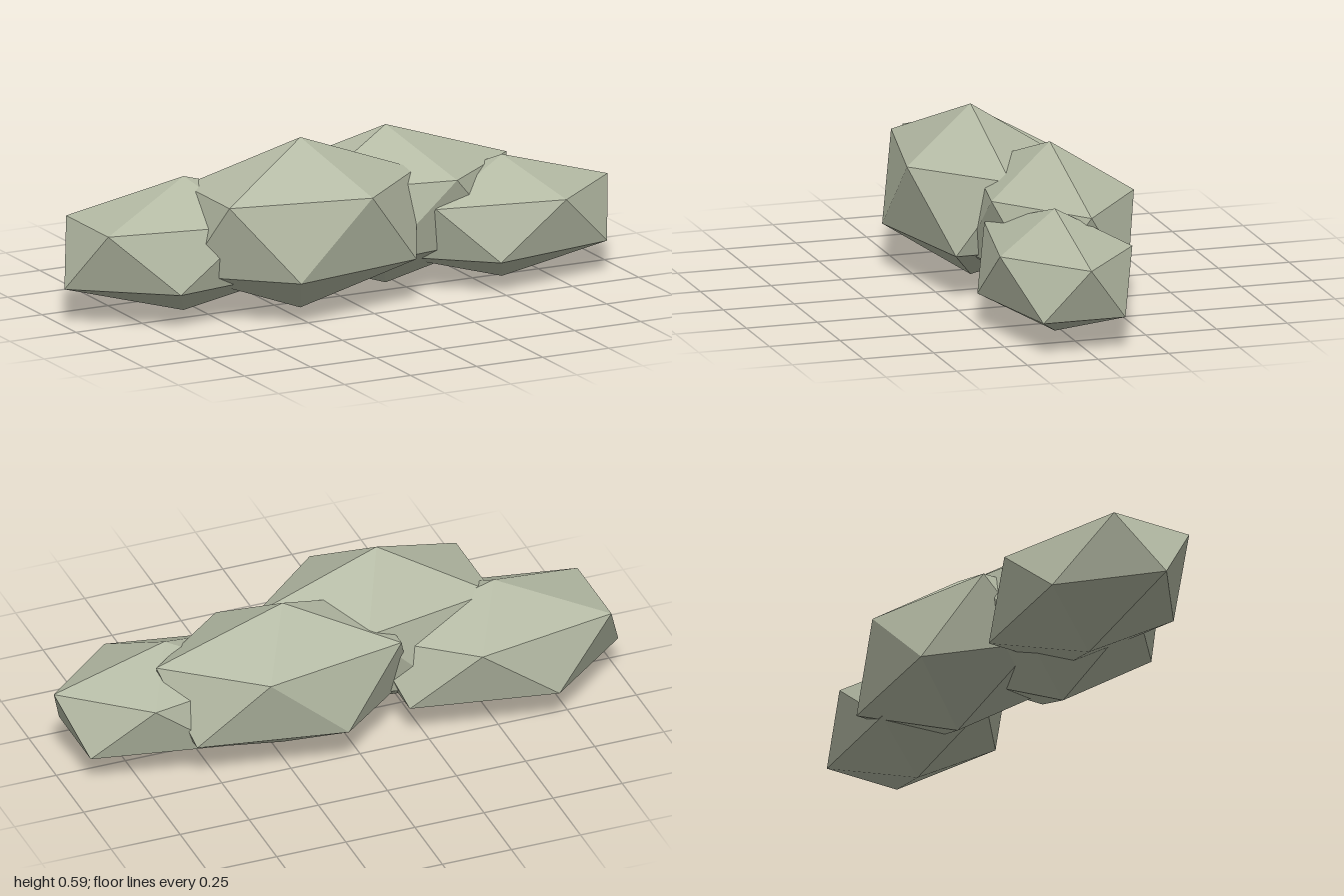
import * as THREE from 'three';

// Unit icosahedron standing on a point, with one upper ring corner towards +x
function makeRockGeometry() {
  const geometry = new THREE.IcosahedronGeometry(1, 0);
  geometry.rotateX(-Math.atan((1 + Math.sqrt(5)) / 2));
  geometry.rotateY(Math.PI / 2);
  return geometry;
}

export function createModel() {
  const group = new THREE.Group();
  group.name = 'rockCluster';

  const stone = new THREE.MeshStandardMaterial({ color: 0xb3b9a3 });
  stone.name = 'paleGreyGreen';
  stone.flatShading = true;

  const geometry = makeRockGeometry();

  // Each rock: centre x and z, then its radii; all rest on the ground
  const rocks = [
    { name: 'leftEndRock', x: -0.549, z: -0.085, r: [0.504, 0.2335, 0.294] },
    { name: 'frontRock', x: -0.185, z: 0.066, r: [0.489, 0.297, 0.316] },
    { name: 'backRock', x: 0.215, z: -0.084, r: [0.511, 0.276, 0.296] },
    { name: 'rightEndRock', x: 0.6, z: 0.023, r: [0.447, 0.2125, 0.275] },
  ];
  for (const { name, x, z, r } of rocks) {
    const rock = new THREE.Mesh(geometry, stone);
    rock.name = name;
    rock.scale.set(...r);
    rock.position.set(x, r[1], z);
    group.add(rock);
  }
  return group;
}
